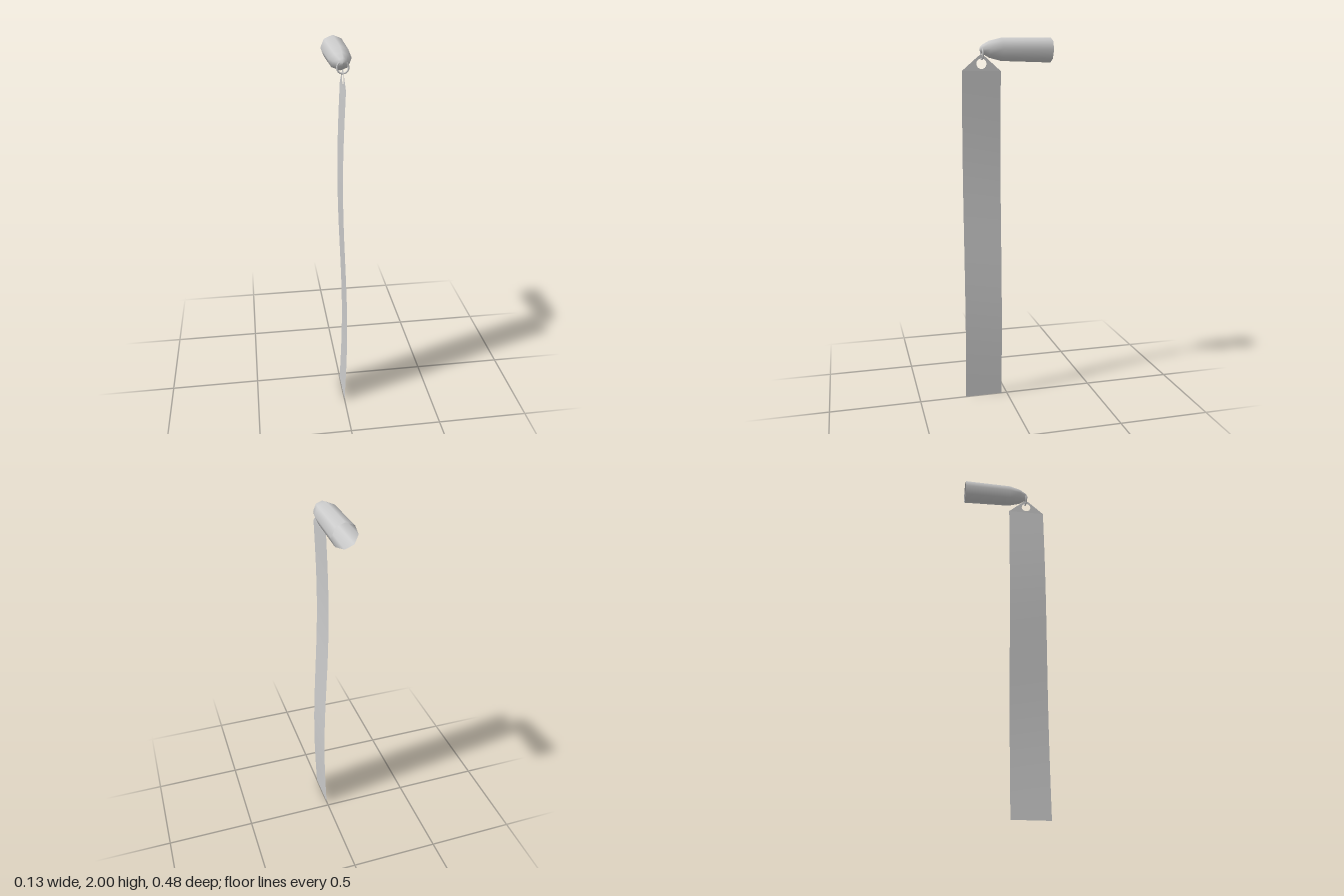
import * as THREE from 'three';

const Z_MID = 0.135;      // centre line of the strip
const SHOULDER = 1.825;   // height where the strip starts to taper

export function createModel() {
  const group = new THREE.Group();
  const material = new THREE.MeshStandardMaterial({ color: 0xcccccc, side: THREE.DoubleSide });
  const add = (name, geometry) => {
    const mesh = new THREE.Mesh(geometry, material);
    mesh.name = name;
    group.add(mesh);
    return mesh;
  };

  // Hollow eight-sided sleeve, open at the back, rounded nose to the front
  const profile = [
    [0.065, -0.24], [0.0645, -0.22], [0.059, 0.03], [0.043, 0.095],
    [0.022, 0.132], [0.011, 0.142], [0, 0.145],
  ].map(([r, z]) => new THREE.Vector2(r, z));
  const sleeve = new THREE.LatheGeometry(profile, 8);
  sleeve.rotateX(Math.PI / 2);
  add('sleeve', sleeve).position.y = 1.936;

  // Small ring linking the nose and the strip
  add('ring', new THREE.TorusGeometry(0.0285, 0.0045, 6, 16)).position.set(0, 1.913, 0.132);

  // Long strip with a gentle wave along its length
  const strip = new THREE.PlaneGeometry(0.208, SHOULDER, 1, 16);
  strip.rotateY(-Math.PI / 2);
  strip.translate(0, SHOULDER / 2, Z_MID);
  const pos = strip.attributes.position;
  for (let i = 0; i < pos.count; i++) {
    pos.setX(i, 0.013 * Math.sin((2 * Math.PI * pos.getY(i)) / SHOULDER));
  }
  strip.computeVertexNormals();
  add('strip', strip);

  // Tapered end of the strip with a round eyelet
  const tip = new THREE.Shape([
    [-0.104, SHOULDER], [0.104, SHOULDER], [0.02, 1.898], [0.008, 1.906],
    [-0.008, 1.906], [-0.02, 1.898],
  ].map(([x, y]) => new THREE.Vector2(x, y)));
  tip.holes.push(new THREE.Path().absarc(0, 1.862, 0.027, 0, Math.PI * 2, true));
  const tipGeometry = new THREE.ShapeGeometry(tip, 8);
  tipGeometry.rotateY(-Math.PI / 2);
  add('stripEnd', tipGeometry).position.z = Z_MID;

  return group;
}
